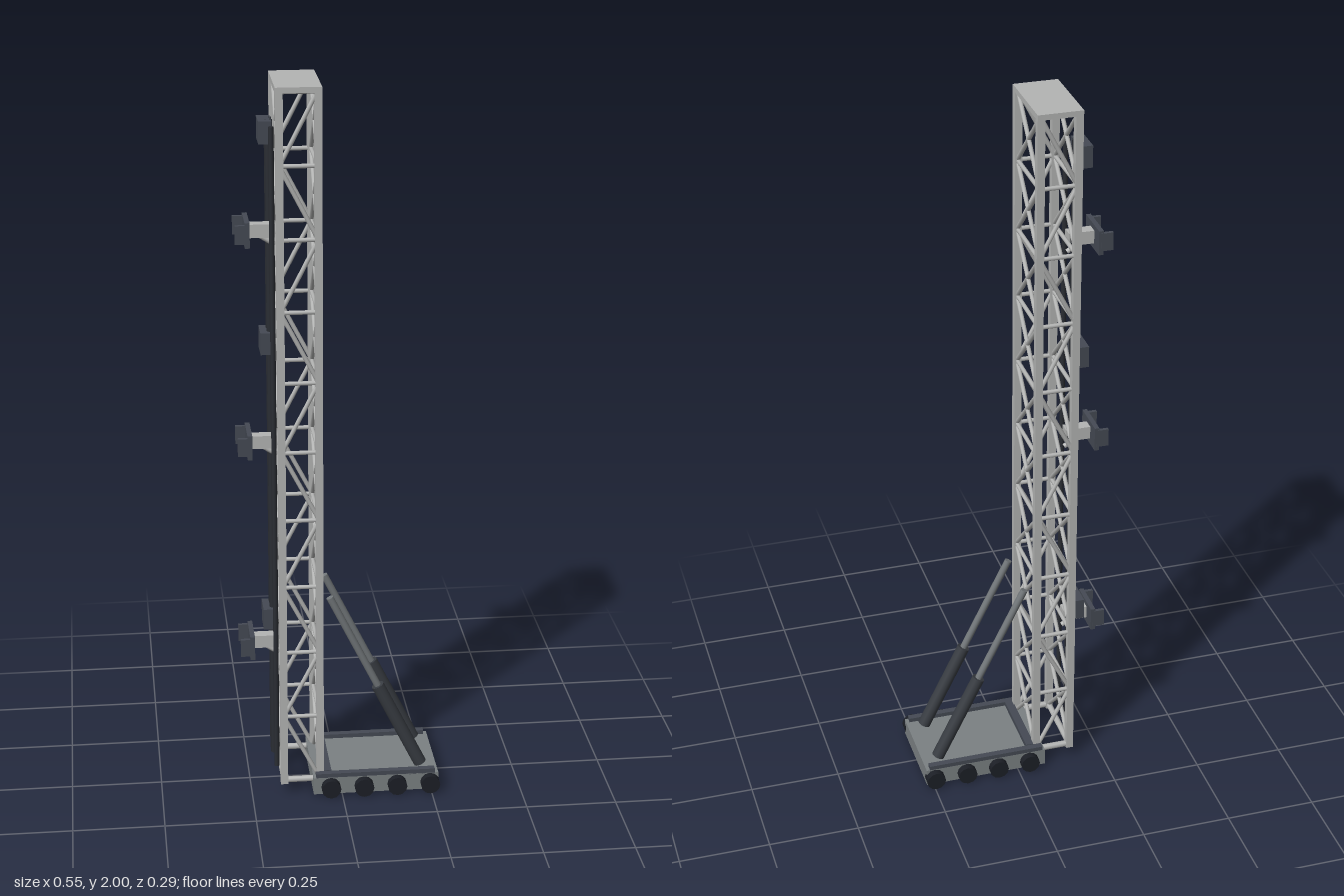
import * as THREE from 'three';

const mat = (name, color) => {
  const m = new THREE.MeshStandardMaterial({ color });
  m.name = name;
  return m;
};

export function createModel() {
  const root = new THREE.Group();
  root.name = 'supportTower';
  const steel = mat('light steel', 0xb4b5b4);
  const deckGrey = mat('deck grey', 0x7b8183);
  const slate = mat('slate', 0x454a54);
  const ram = mat('ram dark grey', 0x383c42);
  const rodGrey = mat('rod grey', 0x72777a);
  const black = mat('wheel black', 0x1c1f26);
  const pipeDark = mat('pipe dark', 0x2a2d33);

  const group = (name) => {
    const g = new THREE.Group();
    g.name = name;
    root.add(g);
    return g;
  };
  // Box given by its extents on each axis
  const box = (parent, name, m, [x0, x1], [y0, y1], [z0, z1]) => {
    const b = new THREE.Mesh(new THREE.BoxGeometry(x1 - x0, y1 - y0, z1 - z0), m);
    b.position.set((x0 + x1) / 2, (y0 + y1) / 2, (z0 + z1) / 2);
    b.name = name;
    parent.add(b);
    return b;
  };
  // Round bar between two points
  const bar = (parent, name, m, a, b, r, sides = 8) => {
    const p = new THREE.Vector3(...a), q = new THREE.Vector3(...b);
    const d = q.clone().sub(p);
    const c = new THREE.Mesh(new THREE.CylinderGeometry(r, r, d.length(), sides), m);
    c.position.copy(p).add(q).multiplyScalar(0.5);
    c.quaternion.setFromUnitVectors(new THREE.Vector3(0, 1, 0), d.normalize());
    c.name = name;
    parent.add(c);
    return c;
  };

  // Lattice tower: four chords, ten braced bays, cap plate
  const tower = group('latticeTower');
  const X0 = -0.16, X1 = -0.06, Z = 0.098, Y0 = 0.045, BAYS = 10;
  const step = (1.99 - Y0) / BAYS;
  for (const x of [X0, X1]) for (const z of [-Z, Z])
    box(tower, 'chord', steel, [x - 0.01, x + 0.01], [0.035, 1.995], [z - 0.01, z + 0.01]);
  for (let i = 0; i <= BAYS; i++) {
    const y = Y0 + i * step, r = i % BAYS ? 0.006 : 0.009;
    for (const z of [-Z, Z]) bar(tower, 'sideRung', steel, [X0, y, z], [X1, y, z], r);
    for (const x of [X0, X1]) bar(tower, 'crossRung', steel, [x, y, -Z], [x, y, Z], r);
    if (i === BAYS) break;
    const t = y + step;
    for (const z of [-Z, Z]) {
      const [xa, xb] = i % 2 ? [X0, X1] : [X1, X0];
      bar(tower, 'sideDiagonal', steel, [xa, y, z], [xb, t, z], 0.006);
    }
    for (const x of [X0, X1]) for (const s of [-1, 1])
      bar(tower, 'crossBrace', steel, [x, y, -s * Z], [x, t, s * Z], 0.006);
  }
  box(tower, 'capPlate', steel, [-0.17, -0.05], [1.985, 2], [-0.108, 0.108]);

  // Vertical service pipes and their clamp blocks
  const pipes = group('servicePipes');
  for (const [z, r] of [[0.059, 0.007], [-0.026, 0.01], [-0.054, 0.01]])
    bar(pipes, 'pipe', pipeDark, [-0.177, 0.07, z], [-0.177, 1.89, z], r, 12);
  for (const y of [0.49, 1.29, 1.86])
    box(pipes, 'clampBlock', slate, [-0.205, -0.17], [y - 0.03, y + 0.03], [-0.079, -0.003]);

  // Forked brackets on arms
  const brackets = group('brackets');
  for (const y of [0.432, 1.02, 1.605]) {
    box(brackets, 'arm', steel, [-0.236, -0.165], [y - 0.018, y + 0.018], [-0.016, 0.016]);
    bar(brackets, 'armStrut', steel, [-0.21, y - 0.012, 0], [-0.165, y - 0.04, 0], 0.007);
    box(brackets, 'forkPlate', slate, [-0.247, -0.234], [y - 0.035, y + 0.033], [-0.055, 0.055]);
    for (const s of [-1, 1])
      box(brackets, 'forkProng', slate, [-0.273, -0.24], [y - 0.024, y + 0.026], [s * 0.051 - 0.005, s * 0.051 + 0.005]);
  }

  // Wheeled base: deck, side rails, cross beam, wheels
  const base = group('base');
  box(base, 'deck', deckGrey, [-0.08, 0.27], [0.008, 0.058], [-0.126, 0.126]);
  box(base, 'crossBeam', slate, [-0.052, -0.029], [0.055, 0.072], [-0.108, 0.108]);
  for (const s of [-1, 1]) {
    box(base, 'sideRail', slate, [-0.073, 0.26], [0.055, 0.07], [s * 0.117 - 0.009, s * 0.117 + 0.009]);
    for (let i = 0; i < 4; i++) {
      const x = -0.032 + i * 0.0927;
      bar(base, 'wheel', black, [x, 0.03, s * 0.115], [x, 0.03, s * 0.146], 0.027, 12);
    }
  }

  // Two hydraulic struts leaning toward the tower
  const struts = group('hydraulicStruts');
  for (const z of [-0.078, 0.078]) {
    bar(struts, 'strutBarrel', ram, [0.224, 0.068, z], [0.103, 0.314, z], 0.018, 16);
    bar(struts, 'strutRod', rodGrey, [0.11, 0.3, z], [-0.03, 0.585, z], 0.01, 12);
  }
  return root;
}
